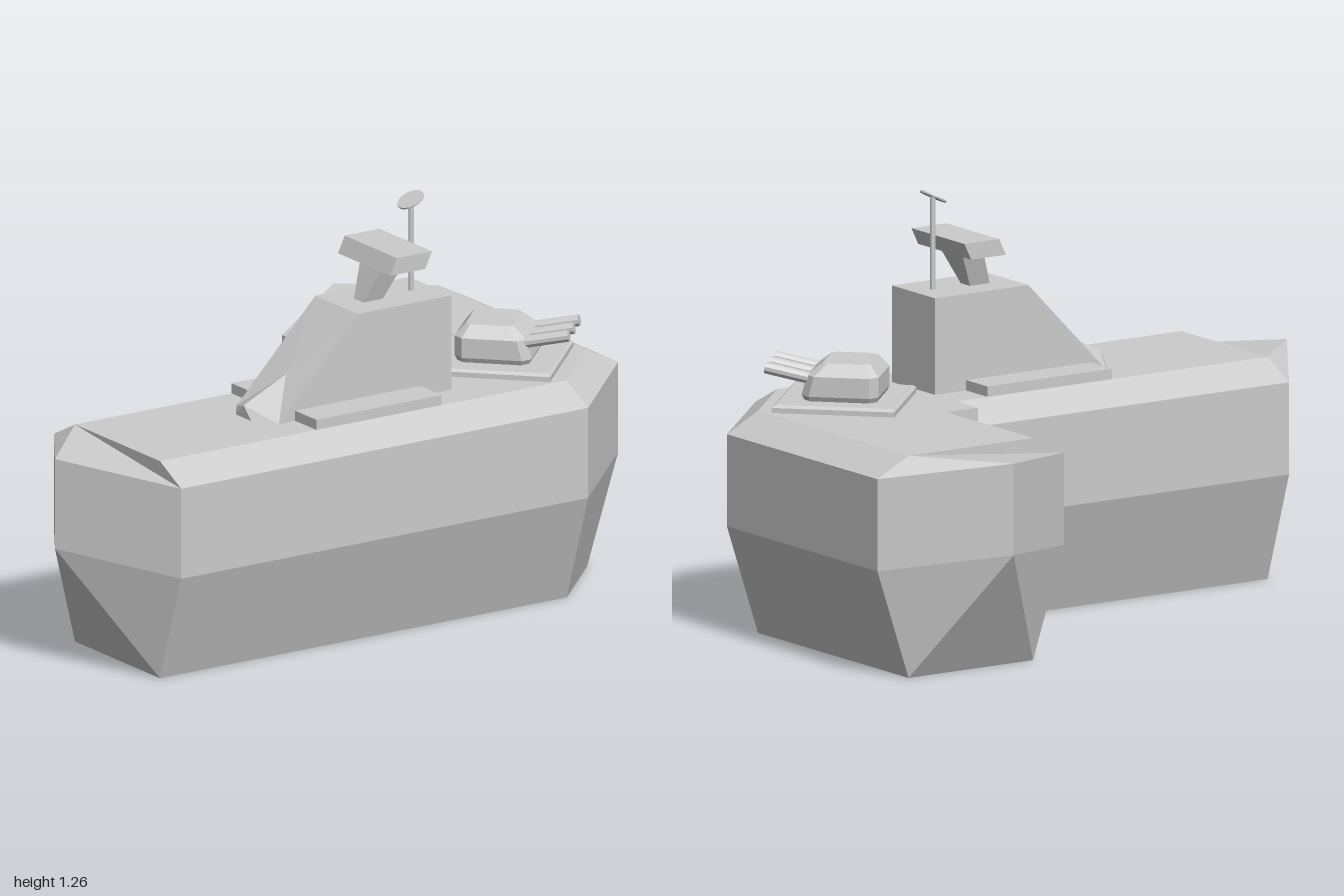
import * as THREE from 'three';
import { ConvexGeometry } from 'three/addons/geometries/ConvexGeometry.js';

const V = (x, y, z) => new THREE.Vector3(x, y, z);
const grey = new THREE.MeshStandardMaterial({ color: 0xcccccc, flatShading: true });
const greyThin = new THREE.MeshStandardMaterial({ color: 0xcccccc, flatShading: true, side: THREE.DoubleSide });

function add(parent, name, geometry, x = 0, y = 0, z = 0, material = grey) {
  const mesh = new THREE.Mesh(geometry, material);
  mesh.name = name;
  mesh.position.set(x, y, z);
  parent.add(mesh);
  return mesh;
}

// Triangles from corner points; "half" is repeated mirrored in x
function facets(half, single = []) {
  const mirrored = half.map(t => t.map(p => V(-p.x, p.y, p.z)).reverse());
  const points = [...half, ...mirrored, ...single].flat();
  const geometry = new THREE.BufferGeometry().setFromPoints(points);
  geometry.computeVertexNormals();
  return geometry;
}

// Convex block with four corners on each level: [y, xMin, xMax, zMin, zMax]
function block(...levels) {
  return new ConvexGeometry(levels.flatMap(([y, x0, x1, z0, z1]) =>
    [V(x0, y, z0), V(x1, y, z0), V(x1, y, z1), V(x0, y, z1)]));
}

// Hull section levels: [y, inset from the full width]
const W = 1 / 3, IN = 0.111;
const LEVELS = [[0, IN], [W, 0], [0.61, 0], [0.667, IN]];

// Straight hull run along local +z, ending in a pointed bow
function hullArm(name, length) {
  const arm = new THREE.Group();
  arm.name = name;
  add(arm, 'hullRun', block(...LEVELS.map(([y, i]) => [y, i - W, W - i, 0, length])));
  const [b, m, u, t] = LEVELS.map(([y, i]) => V(W - i, y, 0));
  const low = V(0, 0.38, 0.222), high = V(0, 0.655, 0.222);
  const flip = p => V(-p.x, p.y, p.z);
  add(arm, 'bow', facets(
    [[u, high, low], [u, low, m], [m, low, b]],
    [[b, low, flip(b)], [flip(t), high, u], [flip(u), high, flip(t)]]
  ), 0, 0, length, greyThin);
  return arm;
}

function createHull() {
  const hull = new THREE.Group();
  hull.name = 'hull';
  const armA = hullArm('longArm', 1.111);
  armA.position.set(W, 0, W);
  armA.rotation.y = -Math.PI / 2;
  const armB = hullArm('shortArm', 0.444);
  armB.position.set(2 * W, 0, 0);
  armB.rotation.y = Math.PI;
  hull.add(armA, armB);
  // Corner section joining the arms, cut diagonally on the outside
  add(hull, 'hullCorner', new ConvexGeometry(LEVELS.flatMap(([y, i]) => [
    V(W, y, 0), V(1 - i, y, 0), V(1 - i, y, W), V(2 * W, y, 2 * W - i), V(W, y, 2 * W - i)
  ])));
  return hull;
}

function createTower() {
  const tower = new THREE.Group();
  tower.name = 'tower';
  tower.position.z = W;
  add(tower, 'towerBase', block([0.66, -0.222, 0.222, -0.222, 0.222], [0.698, -0.222, 0.222, -0.222, 0.222]));
  add(tower, 'towerBody', block([0.66, 0, W, -0.111, 0.111], [0.957, 0, W, -0.111, 0.111]));

  // Faceted slope in front of the tower
  const a = V(0.111, 0.957, 0), c = V(0.111, 0.667, 0.28), base = V(0.111, 0.667, 0);
  const ridge = V(0, 0.775, 0.18), nose = V(0, 0.705, 0.33), e = V(0.04, 0.667, 0.33);
  const prow = add(tower, 'towerSlope', facets(
    [[a, ridge, c], [ridge, nose, c], [nose, e, c], [a, c, base]],
    [[V(-0.111, 0.957, 0), ridge, a], [nose, V(-0.04, 0.667, 0.33), e]]
  ), 0, 0, 0, greyThin);
  prow.rotation.y = -Math.PI / 2;

  // Leaning bridge on a flared neck
  add(tower, 'bridgeNeck', block([0.95, 0.075, 0.145, -0.022, 0.022], [1.066, 0.125, 0.2, -0.058, 0.058]));
  add(tower, 'bridge', block([1.064, 0.098, 0.222, -0.137, 0.137], [1.114, 0.122, 0.246, -0.137, 0.137]));

  // Mast with tilted dish
  add(tower, 'mast', new THREE.CylinderGeometry(0.008, 0.008, 0.285, 8), 0.265, 1.0925, 0);
  const dish = add(tower, 'dish', new THREE.CylinderGeometry(0.042, 0.042, 0.005, 16), 0.263, 1.235, 0);
  dish.rotation.z = 0.49;
  return tower;
}

function createTurret() {
  const turret = new THREE.Group();
  turret.name = 'turret';
  turret.position.set(0.615, 0, 0.285);
  turret.rotation.y = Math.PI / 4;
  const square = (y, r) => [y, -r, r, -r, r];
  add(turret, 'turretPlate', block(square(0.66, 0.183), square(0.682, 0.183), square(0.69, 0.174)));

  // Gun house: clipped corners and an inset roof
  const ring = (y, w, back, front, cut) => [-1, 1].flatMap(s => [
    V(s * w, y, back + cut), V(s * (w - cut), y, back),
    V(s * w, y, front - cut), V(s * (w - cut), y, front)
  ]);
  add(turret, 'gunHouse', new ConvexGeometry([
    ...ring(0.685, 0.105, -0.11, 0.1, 0.02),
    ...ring(0.705, 0.115, -0.12, 0.11, 0.025),
    ...ring(0.765, 0.115, -0.12, 0.095, 0.025),
    ...ring(0.801, 0.085, -0.09, 0.05, 0.015)
  ]));

  // Three raised barrels
  for (const x of [-0.08, 0, 0.08]) {
    const barrel = add(turret, 'barrel', new THREE.CylinderGeometry(0.018, 0.018, 0.18, 10), x, 0.763, 0.132);
    barrel.rotation.x = Math.PI / 2 - 0.2;
  }
  return turret;
}

export function createModel() {
  const model = new THREE.Group();
  model.name = 'warship';
  model.add(createHull(), createTower(), createTurret());
  return model;
}
